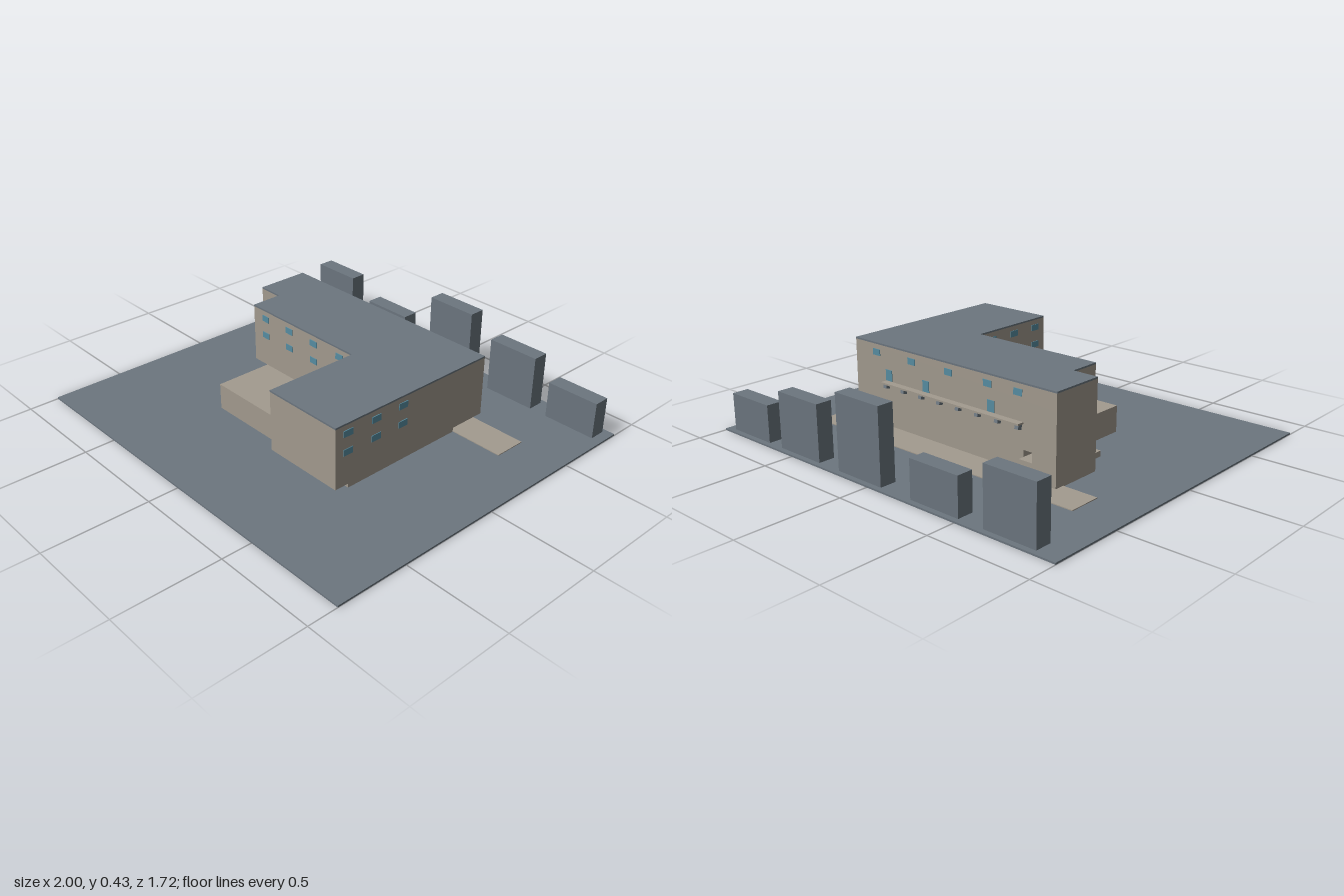
import * as THREE from 'three';

export function createModel() {
  const model = new THREE.Group();
  const mat = (name, color) => {
    const m = new THREE.MeshStandardMaterial({ color });
    m.name = name;
    return m;
  };
  const stone = mat('warm stone', 0xa39b8f);
  const slate = mat('slate grey', 0x6c767f);
  const glass = mat('blue glass', 0x578ea3);

  const add = (name, geometry, material) => {
    const mesh = new THREE.Mesh(geometry, material);
    mesh.name = name;
    model.add(mesh);
    return mesh;
  };
  // Box given by its lower and upper limits on each axis
  const box = (name, material, [x0, x1], [y0, y1], [z0, z1]) => {
    const mesh = add(name, new THREE.BoxGeometry(x1 - x0, y1 - y0, z1 - z0), material);
    mesh.position.set((x0 + x1) / 2, (y0 + y1) / 2, (z0 + z1) / 2);
    return mesh;
  };

  // Plan of the upper storeys, as x and z
  const plan = [[-0.605, -0.378], [0.602, -0.378], [0.602, 0.503], [0.203, 0.503],
    [0.203, 0.04], [-0.477, 0.04], [-0.477, -0.115], [-0.605, -0.115]];
  const storey = (name, material, y0, y1) => {
    const shape = new THREE.Shape(plan.map(([x, z]) => new THREE.Vector2(x, -z)));
    const geometry = new THREE.ExtrudeGeometry(shape, { depth: y1 - y0, bevelEnabled: false });
    geometry.rotateX(-Math.PI / 2);
    add(name, geometry, material).position.y = y0;
  };

  // Site
  box('ground', slate, [-1, 1], [0, 0.008], [-0.86, 0.855]);
  box('walkway', stone, [-0.78, 0.76], [0.004, 0.012], [-0.49, -0.33]);

  // Building mass
  box('groundFloor', stone, [-0.39, 0.49], [0.004, 0.137], [-0.33, 0.327]);
  box('stairTower', stone, [-0.605, -0.477], [0.004, 0.137], [-0.378, -0.115]);
  storey('firstFloor', stone, 0.137, 0.252);
  storey('secondFloor', stone, 0.252, 0.34);
  storey('thirdFloor', stone, 0.34, 0.42);
  storey('roof', slate, 0.42, 0.428);

  // Entrance steps and landing in the passage
  box('lowerStep', stone, [-0.52, -0.39], [0.001, 0.035], [-0.065, 0.035]);
  box('upperStep', stone, [-0.48, -0.44], [0.03, 0.055], [-0.065, 0.0]);
  box('landing', stone, [-0.477, -0.39], [0.004, 0.08], [-0.36, -0.065]);

  // Rear balcony on brackets
  box('balcony', stone, [-0.43, 0.4], [0.25, 0.258], [-0.412, -0.37]);
  for (let i = 0; i < 8; i++) {
    const x = 0.385 - i * 0.114;
    const bracket = box('balconyBracket', slate, [x - 0.01, x + 0.01], [0.227, 0.249], [-0.402, -0.38]);
    bracket.rotation.x = 0.25;
  }

  // Windows as thin plates on the walls
  const t = 0.003;
  const rows = [[0.28, 0.31], [0.367, 0.397]];
  for (const row of rows) {
    for (const x of [-0.39, -0.22, -0.05, 0.122])
      box('frontWindow', glass, [x - 0.023, x + 0.023], row, [0.04 - t, 0.04 + t]);
    for (const z of [0.435, 0.28, 0.126])
      for (const x of [0.602, 0.203])
        box('wingWindow', glass, [x - t, x + t], row, [z - 0.025, z + 0.025]);
  }
  for (const x of [0.46, 0.23, 0, -0.23, -0.4])
    box('rearWindow', glass, [x - 0.023, x + 0.023], rows[1], [-0.378 - t, -0.378 + t]);
  for (const x of [0.38, 0.14, -0.25])
    box('balconyDoor', glass, [x - 0.02, x + 0.02], [0.26, 0.312], [-0.378 - t, -0.378 + t]);

  // Row of neighbouring blocks behind
  [[-0.89, -0.63, 0.275], [-0.5, -0.235, 0.187], [-0.06, 0.205, 0.36],
    [0.335, 0.6, 0.275], [0.69, 0.952, 0.187]].forEach(([x0, x1, h]) =>
    box('neighbourBlock', slate, [x0, x1], [0.004, h], [-0.835, -0.755]));

  return model;
}
